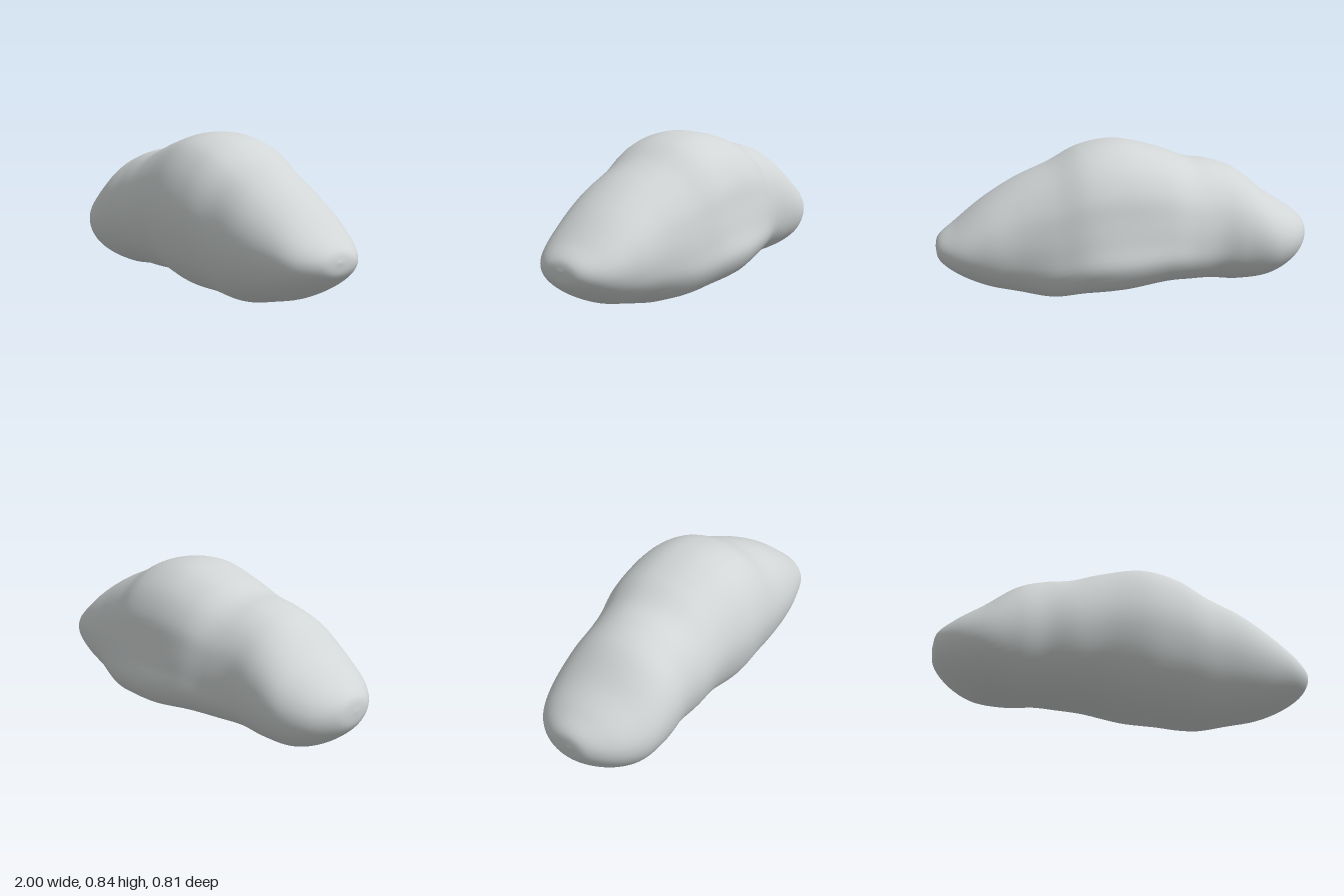
import * as THREE from 'three';
import { mergeVertices } from 'three/addons/utils/BufferGeometryUtils.js';

// Stations along the boulder: x, bottom y, top y, back z, front z
const STATIONS = [
  [-1, 0.3, 0.3, 0.03, 0.03],
  [-0.985, 0.22, 0.37, -0.09, 0.13],
  [-0.9, 0.13, 0.44, -0.21, 0.25],
  [-0.77, 0.06, 0.525, -0.28, 0.33],
  [-0.6, 0.037, 0.655, -0.295, 0.357],
  [-0.46, 0.05, 0.706, -0.3, 0.352],
  [-0.33, 0.052, 0.728, -0.335, 0.367],
  [-0.18, 0.052, 0.785, -0.382, 0.375],
  [0.05, 0.014, 0.834, -0.407, 0.402],
  [0.24, 0.01, 0.806, -0.398, 0.388],
  [0.4, 0, 0.725, -0.35, 0.364],
  [0.58, 0.038, 0.643, -0.285, 0.347],
  [0.75, 0.085, 0.54, -0.235, 0.305],
  [0.9, 0.16, 0.42, -0.165, 0.245],
  [0.985, 0.235, 0.35, -0.07, 0.145],
  [1, 0.3, 0.3, 0.04, 0.04],
];

// Middle cross-section as (z, y) in a unit box, from the top round by the front;
// the low back corner swells into a ridge
const MIDDLE = [
  [0.03, 1], [0.32, 0.97], [0.6, 0.85], [0.84, 0.57], [0.98, 0.2], [0.99, -0.12],
  [0.87, -0.52], [0.64, -0.8], [0.32, -0.97], [-0.03, -1], [-0.45, -0.86], [-0.83, -0.7],
  [-1, -0.43], [-0.95, -0.15], [-0.89, 0.15], [-0.82, 0.45], [-0.62, 0.75], [-0.3, 0.95],
];
const AROUND = 72;
const ALONG = 120;

// One ring: an ellipse near the ends, blending into the middle section
function ring([x, y0, y1, z0, z1]) {
  const w = Math.exp(-(((x - 0.08) / 0.5) ** 2));
  const points = MIDDLE.map(([u, v], k) => {
    const a = (k / MIDDLE.length) * Math.PI * 2;
    const pu = THREE.MathUtils.lerp(Math.sin(a), u, w);
    const pv = THREE.MathUtils.lerp(Math.cos(a), v, w);
    return new THREE.Vector3(x, (y0 + y1) / 2 + (pv * (y1 - y0)) / 2, (z0 + z1) / 2 + (pu * (z1 - z0)) / 2);
  });
  if (y0 === y1) return Array.from({ length: AROUND }, () => points[0].clone());
  const curve = new THREE.CatmullRomCurve3(points, true);
  return Array.from({ length: AROUND }, (_, j) => curve.getPoint(j / AROUND));
}

// Smooth skin drawn lengthwise through all the rings
function boulderGeometry() {
  const rings = STATIONS.map(ring);
  const positions = [];
  const index = [];
  for (let j = 0; j < AROUND; j++) {
    const line = new THREE.CatmullRomCurve3(rings.map((r) => r[j]));
    for (let i = 0; i <= ALONG; i++) positions.push(...line.getPoint(i / ALONG).toArray());
  }
  const id = (i, j) => (j % AROUND) * (ALONG + 1) + i;
  for (let j = 0; j < AROUND; j++) {
    for (let i = 0; i < ALONG; i++) {
      const a = id(i, j), b = id(i + 1, j), c = id(i, j + 1), d = id(i + 1, j + 1);
      // The strips at the two tips are fans of single triangles
      if (i > 0) index.push(a, c, b);
      if (i < ALONG - 1) index.push(b, c, d);
    }
  }
  const geometry = new THREE.BufferGeometry();
  geometry.setAttribute('position', new THREE.Float32BufferAttribute(positions, 3));
  geometry.setIndex(index);
  const merged = mergeVertices(geometry, 1e-5);
  merged.computeVertexNormals();
  return merged;
}

export function createModel() {
  const group = new THREE.Group();
  group.name = 'boulder';
  const stone = new THREE.MeshStandardMaterial({ color: 0xd1d5d5 });
  stone.name = 'stone grey';
  const rock = new THREE.Mesh(boulderGeometry(), stone);
  rock.name = 'rock';
  group.add(rock);
  return group;
}
